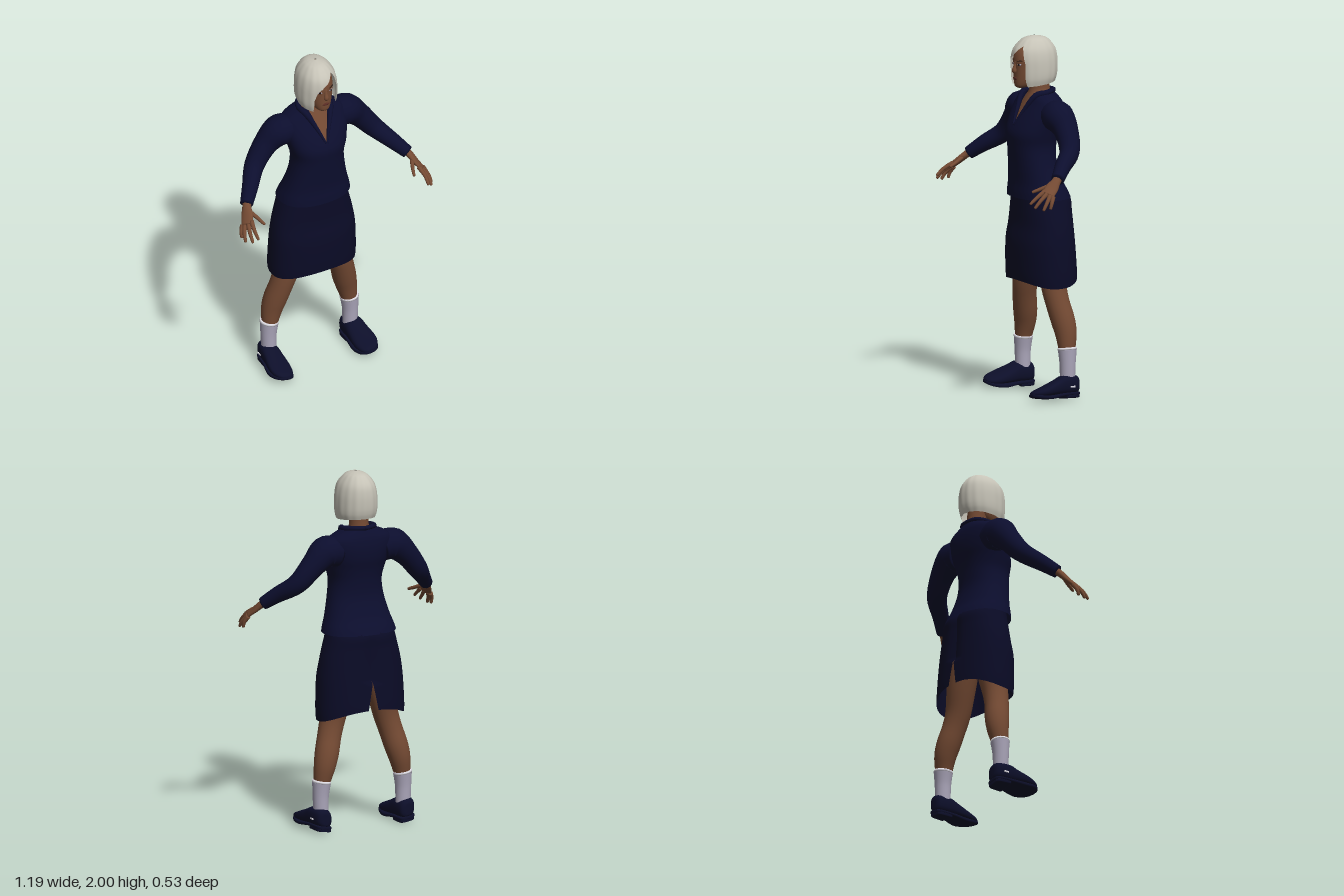
import * as THREE from 'three';

const mat = (name, color, side = THREE.FrontSide) => {
  const m = new THREE.MeshStandardMaterial({ color, side });
  m.name = name;
  return m;
};

// Spline through rows of numbers, resampled to n + 1 rows
function smooth(rows, n) {
  const curves = rows[0].map((_, c) => new THREE.SplineCurve(rows.map(r => new THREE.Vector2(r[c], 0))));
  return Array.from({ length: n + 1 }, (_, i) => curves.map(c => c.getPoint(i / n).x));
}

// Skin over rows of points, each row running counterclockwise about the path
function surface(rows, closed, caps) {
  const pos = rows.flat().flatMap(p => [p.x, p.y, p.z]), idx = [];
  const w = rows[0].length, h = rows.length, n = closed ? w : w - 1;
  for (let i = 0; i < h - 1; i++) for (let j = 0; j < n; j++) {
    const a = i * w + j, b = i * w + (j + 1) % w;
    idx.push(a, b, a + w, b, b + w, a + w);
  }
  if (caps) [0, h - 1].forEach((i, end) => {
    const c = rows[i].reduce((s, p) => s.add(p), new THREE.Vector3()).divideScalar(w);
    const k = pos.length / 3;
    pos.push(c.x, c.y, c.z);
    for (let j = 0; j < n; j++) {
      const a = i * w + j, b = i * w + (j + 1) % w;
      idx.push(k, ...(end ? [a, b] : [b, a]));
    }
  });
  const g = new THREE.BufferGeometry();
  g.setAttribute('position', new THREE.Float32BufferAttribute(pos, 3));
  g.setIndex(idx);
  g.computeVertexNormals();
  return g;
}

// Upright body of rows [y, halfWidth, zFront, zBack], bottom to top.
// slit(y) gives the x limits of an opening at the front (or back).
function shell(profile, { n = 40, seg = 48, p = 2.3, slit, back = false, mod, caps = false } = {}) {
  const rows = smooth(profile, n).map(([y, rx, zf, zb]) => {
    const angle = x => Math.sign(x) * Math.asin(Math.min(0.98, Math.abs(x) / rx) ** (p / 2));
    const [xl, xr] = slit ? slit(y) : [0, 0];
    const from = back ? Math.PI - angle(xl) - 2 * Math.PI : angle(xr);
    const to = back ? Math.PI - angle(xr) : 2 * Math.PI + angle(xl);
    const pow = v => Math.sign(v) * Math.abs(v) ** (2 / p);
    return Array.from({ length: slit ? seg + 1 : seg }, (_, j) => {
      const a = from + (to - from) * j / seg;
      const v = new THREE.Vector3(rx * pow(Math.sin(a)), y, (zf + zb) / 2 + (zf - zb) / 2 * pow(Math.cos(a)));
      if (mod) mod(v, a);
      return v;
    });
  });
  return surface(rows, !slit, caps);
}

// Round limb through points [x, y, z, radius, flatness]
function limb(points, { n = 20, seg = 16, ref = [0, 0, 1] } = {}) {
  const s = smooth(points, n), R = new THREE.Vector3(...ref);
  const c = s.map(r => new THREE.Vector3(r[0], r[1], r[2]));
  return surface(s.map((r, i) => {
    const T = c[Math.min(i + 1, n)].clone().sub(c[Math.max(i - 1, 0)]).normalize();
    const N = T.clone().cross(R).normalize(), B = T.clone().cross(N);
    return Array.from({ length: seg }, (_, j) => {
      const a = j / seg * Math.PI * 2;
      return c[i].clone().addScaledVector(N, r[3] * Math.cos(a)).addScaledVector(B, r[3] * (r[4] ?? 1) * Math.sin(a));
    });
  }), true, true);
}

// Shoe part of rows [z, xCentre, halfWidth, yBottom, yTop], rolled slightly outward
function lengthwise(profile, p = 3, n = 24) {
  const pow = v => Math.sign(v) * Math.abs(v) ** (2 / p);
  return surface(smooth(profile, n).map(([z, cx, w, yb, yt]) => Array.from({ length: 24 }, (_, j) => {
    const a = j / 24 * Math.PI * 2, x = cx + w * pow(Math.cos(a));
    return new THREE.Vector3(x, (yb + yt) / 2 + (yt - yb) / 2 * pow(Math.sin(a)) + (x - 0.265) * 0.15, z);
  })), true, true);
}

function mirror(geo) {
  const g = geo.clone().scale(-1, 1, 1), i = g.index.array;
  for (let k = 0; k < i.length; k += 3) [i[k], i[k + 1]] = [i[k + 1], i[k]];
  g.computeVertexNormals();
  return g;
}

export function createModel() {
  const root = new THREE.Group();
  const D = THREE.DoubleSide;
  const navy = mat('navy jacket cloth', 0x0c0e2e, D), dark = mat('dark skirt cloth', 0x0a0b26, D);
  const skin = mat('brown skin', 0x744a33), hairM = mat('silver hair', 0xc6c3b7, D);
  const sockM = mat('pale sock', 0xaba6ba), white = mat('white trim', 0xe2e0e8);
  const shoeM = mat('navy shoe', 0x0d0f2a), lipM = mat('lip', 0x5c2e26), ink = mat('dark brown', 0x1c110c);
  const add = (name, g, m) => {
    const mesh = new THREE.Mesh(g, m);
    mesh.name = name;
    root.add(mesh);
  };
  const pair = (name, g, m) => {
    add('left ' + name, g, m);
    add('right ' + name, mirror(g), m);
  };

  // Skirt with curved hem and back vent
  add('skirt', shell([[0.66, 0.255, 0.06, -0.26], [0.72, 0.257, 0.065, -0.258], [0.85, 0.25, 0.066, -0.25],
    [0.95, 0.235, 0.052, -0.243], [1.03, 0.215, 0.05, -0.24], [1.1, 0.195, 0.05, -0.238], [1.16, 0.175, 0.05, -0.2]], {
    back: true,
    slit: y => { const w = Math.max(0, 0.84 - y) * 0.17; return [-w, w]; },
    mod: (v, a) => {
      const f = Math.max(0, (0.85 - v.y) / 0.19);
      if (v.z < -0.1 && v.y > 0.84) v.z += 0.016 * Math.exp(-((v.x / 0.025) ** 2));
      v.y += f * (0.005 - 0.02 * Math.cos(a) - 0.045 * Math.sin(a) ** 2);
    },
  }), dark);

  // Jacket body with open neckline
  add('jacket', shell([[1.105, 0.212, 0.07, -0.235], [1.14, 0.203, 0.07, -0.22], [1.2, 0.184, 0.068, -0.19],
    [1.3, 0.16, 0.076, -0.16], [1.39, 0.15, 0.085, -0.16], [1.46, 0.166, 0.09, -0.17], [1.52, 0.182, 0.07, -0.185],
    [1.58, 0.195, 0.038, -0.19], [1.63, 0.19, 0.008, -0.185], [1.66, 0.155, -0.005, -0.175], [1.69, 0.078, -0.018, -0.16]], {
    slit: y => { const w = Math.max(0, y - 1.51) * 0.32; return [-w, w]; },
  }), navy);
  pair('collar', limb([[0, 1.695, -0.16, 0.012], [0.06, 1.697, -0.14, 0.014], [0.09, 1.688, -0.08, 0.016],
    [0.074, 1.672, -0.02, 0.018], [0.036, 1.59, 0.033, 0.011], [0.003, 1.51, 0.076, 0.005]], { ref: [0, 1, 0], seg: 10 }), navy);
  pair('sleeve', limb([[0.13, 1.56, -0.09, 0.08], [0.21, 1.57, -0.09, 0.088], [0.29, 1.505, -0.095, 0.068],
    [0.375, 1.405, -0.07, 0.056], [0.45, 1.335, 0.015, 0.045], [0.508, 1.278, 0.078, 0.036]], { n: 28 }), navy);

  // Hands
  pair('palm', limb([[0.495, 1.292, 0.065, 0.027, 0.9], [0.513, 1.27, 0.09, 0.026, 0.75],
    [0.53, 1.24, 0.125, 0.036, 0.42], [0.552, 1.207, 0.162, 0.034, 0.36]], { ref: [0.67, 0.7, 0.23] }), skin);
  const fingers = {
    'index finger': [[0.527, 1.226, 0.168], [0.537, 1.197, 0.22], [0.536, 1.165, 0.26]],
    'middle finger': [[0.545, 1.213, 0.164], [0.56, 1.18, 0.212], [0.562, 1.145, 0.246]],
    'ring finger': [[0.56, 1.203, 0.152], [0.58, 1.165, 0.185], [0.585, 1.132, 0.206]],
    'little finger': [[0.568, 1.197, 0.138], [0.584, 1.165, 0.155], [0.586, 1.136, 0.164]],
    thumb: [[0.517, 1.26, 0.108], [0.49, 1.235, 0.165], [0.473, 1.217, 0.212]],
  };
  for (const [name, [a, b, c]] of Object.entries(fingers)) {
    const tip = c.map((v, i) => v + (v - b[i]) * 0.12);
    pair(name, limb([[...a, 0.013], [...b, 0.0105], [...c, 0.008], [...tip, 0.002]], { n: 12, seg: 10 }), skin);
  }

  // Legs, socks and shoes
  pair('leg', limb([[0.1, 0.9, -0.09, 0.085], [0.135, 0.75, -0.09, 0.08], [0.165, 0.62, -0.087, 0.071],
    [0.19, 0.53, -0.097, 0.067], [0.215, 0.44, -0.115, 0.067], [0.233, 0.37, -0.124, 0.061],
    [0.246, 0.3, -0.123, 0.05], [0.25, 0.24, -0.12, 0.04]], { n: 28, seg: 20 }), skin);
  pair('sock', limb([[0.252, 0.283, -0.123, 0.053], [0.257, 0.2, -0.122, 0.045], [0.256, 0.1, -0.122, 0.042]], { seg: 20 }), sockM);
  pair('sock cuff', limb([[0.251, 0.29, -0.123, 0.052], [0.253, 0.277, -0.123, 0.054]], { n: 2, seg: 20 }), white);
  pair('shoe upper', lengthwise([[-0.184, 0.258, 0.018, 0.05, 0.11], [-0.174, 0.258, 0.04, 0.035, 0.13],
    [-0.14, 0.26, 0.05, 0.03, 0.138], [-0.085, 0.262, 0.055, 0.03, 0.138], [-0.05, 0.263, 0.058, 0.03, 0.122],
    [0, 0.266, 0.064, 0.03, 0.1], [0.05, 0.268, 0.062, 0.03, 0.08], [0.09, 0.266, 0.045, 0.034, 0.066],
    [0.108, 0.265, 0.02, 0.038, 0.055]], 2.6), shoeM);
  pair('shoe sole', lengthwise([[-0.184, 0.258, 0.025, 0.025, 0.04], [-0.165, 0.259, 0.046, 0.025, 0.042],
    [-0.08, 0.262, 0.055, 0.024, 0.042], [0, 0.267, 0.067, 0.014, 0.036], [0.05, 0.268, 0.064, 0.018, 0.04],
    [0.09, 0.266, 0.048, 0.026, 0.046], [0.112, 0.265, 0.02, 0.034, 0.048]], 5), shoeM);
  pair('shoe heel', lengthwise([[-0.18, 0.258, 0.03, 0.01, 0.035], [-0.16, 0.259, 0.045, 0.008, 0.035],
    [-0.09, 0.261, 0.05, 0.01, 0.035]], 6), shoeM);
  pair('shoe side cutout', new THREE.BoxGeometry(0.006, 0.008, 0.03).translate(0.314, 0.08, -0.125), white);

  // Chest, neck and head
  add('chest and neck', shell([[1.45, 0.1, 0.06, -0.1], [1.52, 0.12, 0.05, -0.12], [1.6, 0.12, 0.014, -0.13],
    [1.66, 0.085, -0.014, -0.135], [1.69, 0.058, -0.026, -0.145], [1.73, 0.052, -0.03, -0.142], [1.8, 0.05, -0.02, -0.14]],
    { n: 20, seg: 28, p: 2, caps: true }), skin);
  add('head', shell([[1.715, 0.018, 0.05, 0.01], [1.725, 0.038, 0.062, -0.05], [1.75, 0.054, 0.066, -0.1],
    [1.79, 0.066, 0.066, -0.13], [1.83, 0.072, 0.066, -0.15], [1.88, 0.075, 0.066, -0.16],
    [1.93, 0.066, 0.045, -0.145], [1.97, 0.03, -0.02, -0.09]], { n: 26, seg: 32, p: 2.4, caps: true }), skin);

  // Face details
  add('nose', limb([[0, 1.865, 0.06, 0.008], [0, 1.835, 0.066, 0.01], [0, 1.812, 0.07, 0.015], [0, 1.8, 0.066, 0.01]],
    { n: 10, seg: 12 }), skin);
  const oval = (w, h, x, y, z, turn, tilt = 0) =>
    new THREE.SphereGeometry(1, 14, 8).scale(w, h, 0.004).rotateZ(tilt).rotateY(turn).translate(x, y, z);
  pair('eye white', oval(0.014, 0.006, 0.034, 1.848, 0.058, 0.4), sockM);
  pair('iris', oval(0.006, 0.006, 0.034, 1.848, 0.0605, 0.4), ink);
  pair('eyebrow', oval(0.019, 0.003, 0.036, 1.868, 0.057, 0.42, 0.12), ink);
  add('lips', oval(0.022, 0.008, 0, 1.768, 0.067, 0), lipM);

  // Bob haircut swept across one side of the face
  const edge = (y, pts) => {
    let k = 0;
    while (k < pts.length - 2 && y < pts[k + 1][0]) k++;
    const [a, b] = [pts[k], pts[k + 1]];
    return THREE.MathUtils.lerp(a[1], b[1], THREE.MathUtils.clamp((a[0] - y) / (a[0] - b[0]), 0, 1));
  };
  add('hair', shell([[1.735, 0.102, 0.068, -0.168], [1.77, 0.111, 0.077, -0.178], [1.82, 0.113, 0.08, -0.184],
    [1.88, 0.109, 0.079, -0.183], [1.93, 0.096, 0.066, -0.172], [1.97, 0.07, 0.032, -0.143],
    [1.99, 0.043, 0, -0.112], [2, 0.006, -0.045, -0.06]], {
    n: 44, seg: 64, p: 2.1,
    slit: y => [
      edge(y, [[1.95, 0.045], [1.91, 0.012], [1.86, -0.05], [1.8, -0.068], [1.73, -0.066]]),
      edge(y, [[1.95, 0.045], [1.92, 0.062], [1.85, 0.08], [1.73, 0.078]]),
    ],
    mod: (v, a) => {
      const k = 1 + 0.01 * Math.sin(a * 15);
      v.x *= k;
      v.z = -0.05 + (v.z + 0.05) * k;
      if (v.y < 1.8) v.y -= (1.8 - v.y) / 0.065 * 0.11 * (v.z + 0.05);
    },
  }), hairM);

  return root;
}
